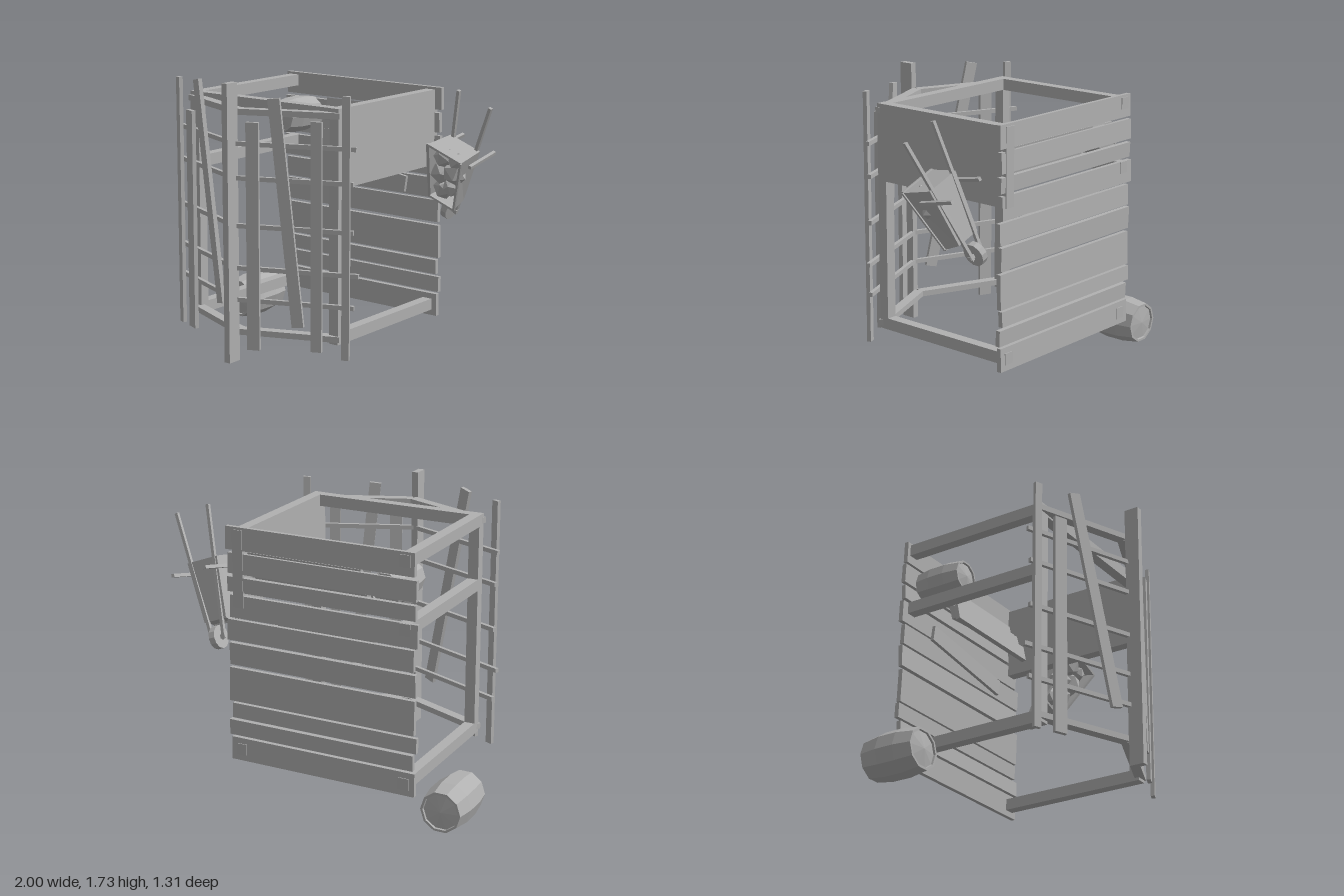
import * as THREE from 'three';

const wood = new THREE.MeshStandardMaterial({ color: 0xb0b0b0, flatShading: true, side: THREE.DoubleSide });
wood.name = 'plainGrey';

function add(parent, name, geometry, x = 0, y = 0, z = 0) {
  const mesh = new THREE.Mesh(geometry, wood);
  mesh.name = name;
  mesh.position.set(x, y, z);
  parent.add(mesh);
  return mesh;
}

// box from its lower and upper corners
function span(parent, name, x0, x1, y0, y1, z0, z1) {
  return add(parent, name, new THREE.BoxGeometry(x1 - x0, y1 - y0, z1 - z0),
    (x0 + x1) / 2, (y0 + y1) / 2, (z0 + z1) / 2);
}

// straight bar between two points
function bar(parent, name, a, b, thick) {
  const p = new THREE.Vector3(...a), q = new THREE.Vector3(...b);
  const mesh = add(parent, name, new THREE.BoxGeometry(thick, p.distanceTo(q), thick));
  mesh.position.copy(p).add(q).multiplyScalar(0.5);
  mesh.quaternion.setFromUnitVectors(new THREE.Vector3(0, 1, 0), q.sub(p).normalize());
  return mesh;
}

// barrel lying along z
function barrel(parent, name, x, y, z, r, length) {
  const h = length / 2;
  const profile = [[0, -h], [0.76, -h + 0.012], [0.78, -h], [0.88, -h], [1, -h * 0.35],
    [1, h * 0.35], [0.88, h], [0.78, h], [0.76, h - 0.012], [0, h + 0.006]]
    .map(([k, v]) => new THREE.Vector2(k * r, v));
  add(parent, name, new THREE.LatheGeometry(profile, 10, Math.PI / 10), x, y, z).rotation.x = Math.PI / 2;
}

// pointed front: pieces are placed along either wing of the chevron
const CX = -0.1, ANGLE = 0.39, COS = Math.cos(ANGLE), SIN = Math.sin(ANGLE);
function wingBox(parent, name, side, offset, y, depth, w, h, t, tilt = 0) {
  const u = (offset - depth * SIN) / COS;
  const mesh = add(parent, name, new THREE.BoxGeometry(w, h, t), CX + side * offset, y, depth * COS - u * SIN);
  mesh.rotation.set(0, side * ANGLE, tilt, 'YXZ');
}
function wingRail(parent, name, side, end, y, depth, h, t) {
  wingBox(parent, name, side, end / 2, y, depth, end / COS, h, t);
}

function buildFrame(root) {
  const frame = new THREE.Group();
  frame.name = 'frame';
  root.add(frame);

  // back wall planks
  const planks = [[0.19, 0.33], [0.345, 0.44], [0.455, 0.545], [0.56, 0.765], [0.785, 0.92],
    [0.935, 1.06], [1.075, 1.21], [1.23, 1.32], [1.34, 1.46], [1.48, 1.615]];
  planks.forEach(([y0, y1], i) => {
    const shift = [0, 0.012, -0.01, 0.005][i % 4];
    const plank = span(frame, 'backPlank', -0.695 + shift, 0.495 + shift, y0, y1, -0.65, -0.622);
    plank.rotation.x = [0.03, -0.04, 0.04][i % 3];
  });

  // side beams and corner posts
  for (const x of [-0.66, 0.395]) {
    for (const y of [0.225, 1.14, 1.53]) span(frame, 'sideBeam', x, x + 0.065, y, y + 0.07, -0.654, 0.29);
    span(frame, 'cornerPost', x, x + 0.065, 0.225, 1.6, 0.265, 0.328);
  }
  span(frame, 'sidePanel', 0.395, 0.46, 1.2, 1.54, -0.654, 0.27);
  span(frame, 'crossBeam', -0.6, 0.4, 1.53, 1.6, 0.262, 0.326);
}

function buildFence(root) {
  const fence = new THREE.Group();
  fence.name = 'pointedFence';
  root.add(fence);
  for (const side of [-1, 1]) {
    for (const y of [0.26, 1.56]) wingRail(fence, 'chevronBeam', side, 0.56, y, 0.495, 0.035, 0.06);
    [[1.38, 0.67], [1.18, 0.655], [0.9, 0.655], [0.65, 0.685], [0.46, 0.66]].forEach(([y, end]) =>
      wingRail(fence, 'rung', side, end, y, 0.536, 0.026, 0.023));
    wingBox(fence, 'endSlat', side, 0.63, 0.918, 0.56, 0.045, 1.525, 0.024);
  }
  // upright and slanting slats
  wingBox(fence, 'slat', -1, 0.487, 0.83, 0.56, 0.08, 1.34, 0.025);
  wingBox(fence, 'slat', 1, 0.47, 0.86, 0.56, 0.065, 1.34, 0.025);
  wingBox(fence, 'slat', 1, 0.121, 0.84, 0.56, 0.075, 1.34, 0.025);
  wingBox(fence, 'slantedSlat', -1, 0.262, 1.052, 0.56, 0.072, 1.32, 0.025, 0.22);
  wingBox(fence, 'slantedSlat', 1, 0.304, 0.99, 0.56, 0.07, 1.33, 0.025, 0.105);
  span(fence, 'frontPost', -0.12, -0.08, 0.09, 1.73, 0.565, 0.655);
}

// loose boards leaning on the inside of the back wall
function buildBoards(root) {
  const boards = new THREE.Group();
  boards.name = 'looseBoards';
  root.add(boards);
  [[1.425, -0.605, 0], [1.36, -0.57, 0], [1.3, -0.535, 0.1], [1.25, -0.495, 0]].forEach(([y, z, tilt]) => {
    add(boards, 'board', new THREE.BoxGeometry(0.72, 0.1, 0.03), 0.015, y, z).rotation.set(-0.2, 0, tilt);
  });
  add(boards, 'board', new THREE.BoxGeometry(0.7, 0.1, 0.022), -0.08, 1.05, -0.608).rotation.z = -0.15;
}

function buildWheelbarrow(root) {
  const cart = new THREE.Group();
  cart.name = 'wheelbarrow';
  root.add(cart);
  // local x across, y from wheel to handles, z out of the tray
  const along = new THREE.Vector3(0.26, 0.69, 0.17).normalize();
  const out = new THREE.Vector3(0.93, -0.37, 0).cross(along).normalize();
  const across = along.clone().cross(out);
  cart.quaternion.setFromRotationMatrix(new THREE.Matrix4().makeBasis(across, along, out));
  cart.position.set(0.62, 0.905, -0.57);

  // open tray: floor corners then rim corners
  const corners = [[-0.08, 0.1, 0], [0.08, 0.1, 0], [0.11, 0.465, -0.01], [-0.11, 0.465, -0.01],
    [-0.095, 0.085, 0.11], [0.095, 0.085, 0.11], [0.125, 0.47, 0.195], [-0.125, 0.47, 0.195]];
  const faces = [[3, 2, 1, 0], [0, 1, 5, 4], [1, 2, 6, 5], [2, 3, 7, 6], [3, 0, 4, 7]];
  const positions = faces.flatMap(([a, b, c, d]) => [a, b, c, a, c, d].flatMap(i => corners[i]));
  const tray = new THREE.BufferGeometry();
  tray.setAttribute('position', new THREE.Float32BufferAttribute(positions, 3));
  tray.computeVertexNormals();
  add(cart, 'tray', tray);
  for (let i = 0; i < 4; i++) bar(cart, 'trayRim', corners[4 + i], corners[4 + (i + 1) % 4], 0.014);

  // rocks
  [[-0.03, 0.16, 0.07, 0.065], [0.04, 0.22, 0.09, 0.065], [-0.045, 0.28, 0.1, 0.075],
    [0.045, 0.33, 0.11, 0.075], [-0.035, 0.4, 0.12, 0.07], [0.05, 0.42, 0.12, 0.055]].forEach(([x, y, z, r], i) => {
    const rock = add(cart, 'rock', new THREE.IcosahedronGeometry(r, 0), x, y, z);
    rock.rotation.set(i, i * 2.1, i * 0.7);
    rock.scale.set(1, 1.15, 0.95);
  });

  // wheel, handles and legs
  add(cart, 'wheel', new THREE.CylinderGeometry(0.07, 0.07, 0.04, 12)).rotation.z = Math.PI / 2;
  bar(cart, 'axle', [-0.055, 0, 0], [0.055, 0, 0], 0.022);
  for (const side of [-1, 1]) {
    bar(cart, 'handle', [side * 0.04, -0.02, -0.005], [side * 0.117, 0.77, -0.005], 0.02);
    bar(cart, 'leg', [side * 0.125, 0.4, 0.09], [side * 0.118, 0.4, -0.16], 0.02);
  }
}

export function createModel() {
  const root = new THREE.Group();
  root.name = 'timberPen';
  buildFrame(root);
  buildFence(root);
  buildBoards(root);
  barrel(root, 'groundBarrel', -0.86, 0.135, -0.483, 0.14, 0.345);
  barrel(root, 'upperBarrel', -0.495, 1.375, -0.475, 0.112, 0.31);
  buildWheelbarrow(root);
  return root;
}
